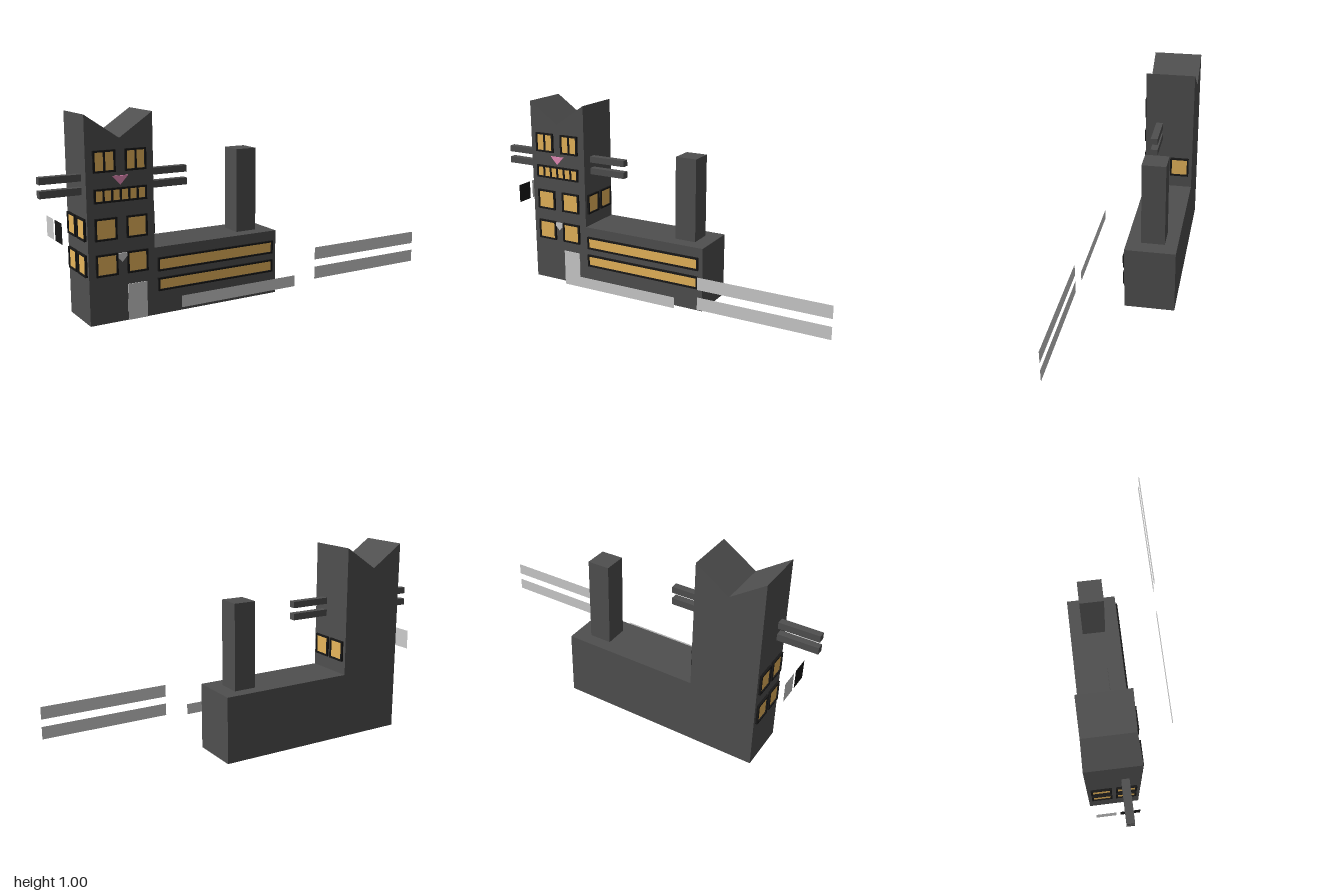
import * as THREE from 'three';

const paint = (color, side = THREE.FrontSide) => new THREE.MeshStandardMaterial({ color, side });
const wall = paint(0x4f4f4f);
const black = paint(0x181818);
const amber = paint(0xe7b55b);
const pale = paint(0xcccccc, THREE.DoubleSide);
const darkPanel = paint(0x181818, THREE.DoubleSide);
const pink = paint(0xe78bb8, THREE.DoubleSide);

const FRONT = 0.013, BACK = -0.245;

function mesh(name, geometry, material, parent) {
  const m = new THREE.Mesh(geometry, material);
  m.name = name;
  parent.add(m);
  return m;
}

// Box given by its limits on each axis
function box(name, [x0, x1], [y0, y1], [z0, z1], material, parent) {
  const m = mesh(name, new THREE.BoxGeometry(x1 - x0, y1 - y0, z1 - z0), material, parent);
  m.position.set((x0 + x1) / 2, (y0 + y1) / 2, (z0 + z1) / 2);
  return m;
}

function polygon(points) {
  return new THREE.Shape(points.map(([x, y]) => new THREE.Vector2(x, y)));
}

function rect(x0, x1, y0, y1) {
  return polygon([[x0, y0], [x1, y0], [x1, y1], [x0, y1]]);
}

// Framed window facing +z, with a row of openings over one glowing pane
function makeWindow(name, w, h, openings = 1) {
  const group = new THREE.Group();
  group.name = name;
  const rim = 0.009, step = (w - rim) / openings;
  const shape = rect(-w / 2, w / 2, -h / 2, h / 2);
  for (let i = 0; i < openings; i++) {
    const x = -w / 2 + rim + i * step;
    shape.holes.push(rect(x, x + step - rim, -h / 2 + rim, h / 2 - rim));
  }
  mesh('windowFrame', new THREE.ExtrudeGeometry(shape, { depth: 0.011, bevelEnabled: false }), black, group);
  const pane = mesh('windowPane', new THREE.BoxGeometry(w - rim, h - rim, 0.005), amber, group);
  pane.position.z = 0.0025;
  return group;
}

function frontWindow(name, x0, x1, y0, y1, openings, parent) {
  const win = makeWindow(name, x1 - x0, y1 - y0, openings);
  win.position.set((x0 + x1) / 2, (y0 + y1) / 2, FRONT);
  parent.add(win);
}

// Windows in a tower side wall: side is +1 (left) or -1 (right)
function sideWindow(name, side, x, z, y, parent) {
  const win = makeWindow(name, 0.102, 0.107);
  win.position.set(x, y, z);
  win.rotation.y = side * Math.PI / 2;
  parent.add(win);
}

// Flat floating panel facing z
function panel(name, x0, x1, y0, y1, z, parent) {
  const m = mesh(name, new THREE.PlaneGeometry(x1 - x0, y1 - y0), pale, parent);
  m.position.set((x0 + x1) / 2, (y0 + y1) / 2, z);
}

export function createModel() {
  const model = new THREE.Group();
  model.name = 'building';

  // Tower with a V-shaped roof, low wing and chimney
  const L = -0.8, R = -0.46;
  const outline = polygon([[L, 0], [R, 0], [R, 1], [-0.63, 0.885], [L, 1]]);
  const tower = mesh('tower', new THREE.ExtrudeGeometry(outline, { depth: FRONT - BACK, bevelEnabled: false }), wall, model);
  tower.position.z = BACK;
  box('wing', [R, 0.245], [0, 0.34], [BACK, FRONT], wall, model);
  box('chimney', [0.05, 0.165], [0.34, 0.776], [-0.18, -0.06], wall, model);

  // Paired beams on both sides of the tower
  for (const [y0, y1] of [[0.688, 0.721], [0.624, 0.658]]) {
    box('outerBeam', [-1, L], [y0, y1], [-0.08, -0.043], wall, model);
    box('innerBeam', [R, -0.25], [y0, y1], [-0.08, -0.043], wall, model);
  }

  // Tower front windows
  for (const [x0, x1] of [[-0.766, -0.655], [-0.607, -0.499]]) {
    frontWindow('upperWindow', x0, x1, 0.73, 0.834, 2, model);
    frontWindow('middleWindow', x0, x1, 0.408, 0.516, 1, model);
    frontWindow('lowerWindow', x0, x1, 0.235, 0.343, 1, model);
  }
  frontWindow('windowBand', -0.766, -0.499, 0.587, 0.655, 6, model);

  // Long wing windows
  frontWindow('wingUpperWindow', -0.447, 0.222, 0.22, 0.289, 1, model);
  frontWindow('wingLowerWindow', -0.447, 0.222, 0.12, 0.187, 1, model);

  // Side windows
  for (const z of [-0.055, -0.176]) {
    sideWindow('leftSideWindow', 1, R, z, 0.462, model);
    sideWindow('rightSideWindow', -1, L, z, 0.462, model);
    sideWindow('rightSideLowerWindow', -1, L, z, 0.289, model);
  }

  // Door and triangular ornaments
  box('door', [-0.605, -0.505], [0, 0.18], [FRONT, 0.017], pale, model);
  for (const [name, y, material] of [['upperOrnament', 0.71, pink], ['lowerOrnament', 0.338, pale]]) {
    const shape = polygon([[-0.672, y], [-0.632, y - 0.043], [-0.592, y]]);
    const ornament = mesh(name, new THREE.ExtrudeGeometry(shape, { depth: 0.007, bevelEnabled: false }), material, model);
    ornament.position.z = FRONT;
  }

  // Floating panels in front
  panel('frontPanel', -0.435, 0.207, 0.1, 0.157, 0.245, model);
  panel('upperOuterPanel', 0.332, 1, 0.222, 0.286, 0.245, model);
  panel('lowerOuterPanel', 0.332, 1, 0.12, 0.184, 0.245, model);

  // Floating panels beside the tower
  for (const [z, material] of [[-0.05, darkPanel], [-0.165, pale]]) {
    const m = mesh('sidePanel', new THREE.PlaneGeometry(0.095, 0.1), material, model);
    m.position.set(-0.916, 0.46, z);
    m.rotation.y = -Math.PI / 2;
  }

  return model;
}
